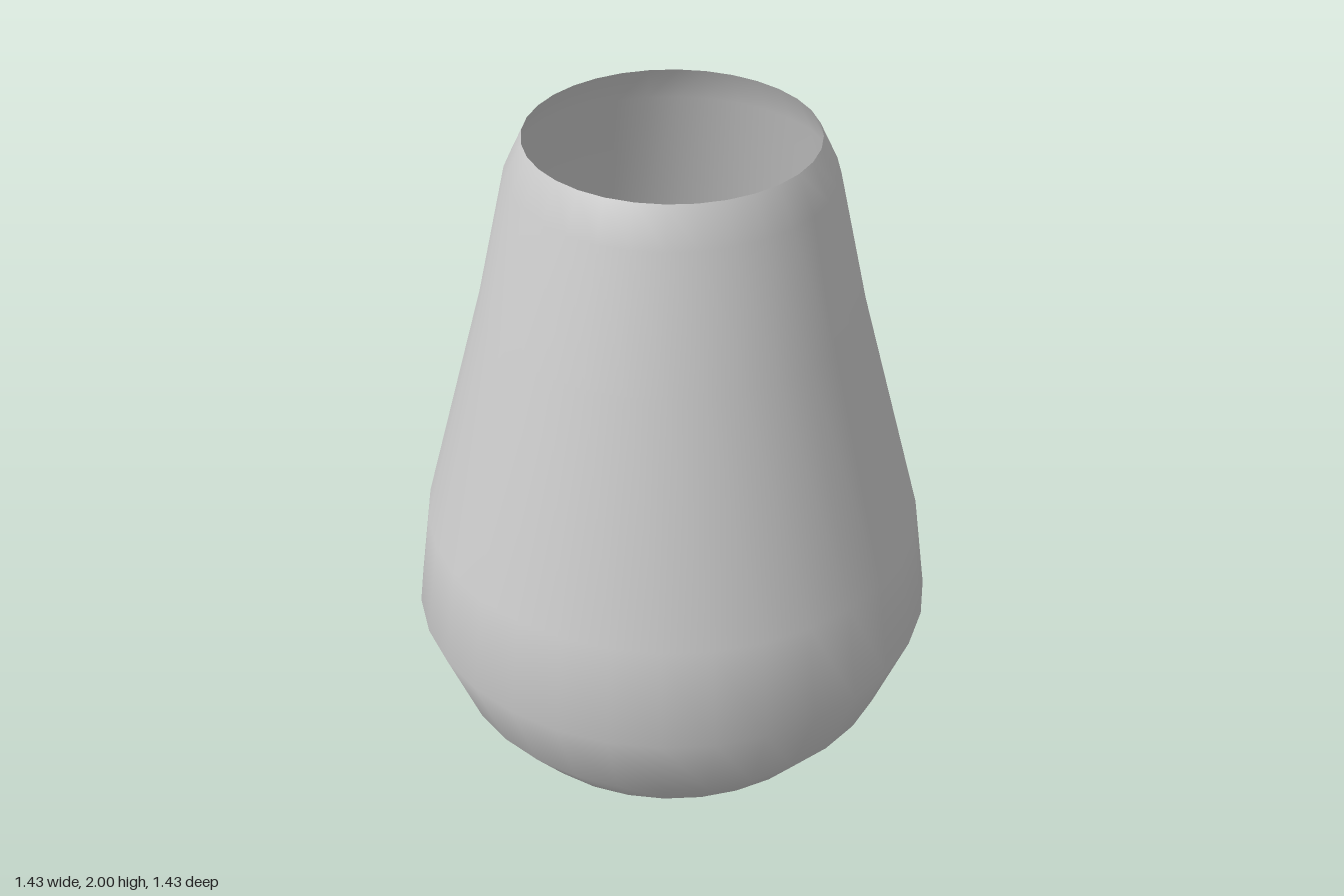
import * as THREE from 'three';

export function createModel() {
  const group = new THREE.Group();
  group.name = 'vase';

  // Thin open shell: round bowl base, widest low down, tapering to the mouth
  const profile = [
    [0, 0], [0.14, 0.016], [0.28, 0.06], [0.405, 0.132], [0.52, 0.23],
    [0.625, 0.363], [0.717, 0.606],
    [0.677, 0.89], [0.503, 1.54], [0.423, 1.9], [0.375, 2],
  ].map(([r, y]) => new THREE.Vector2(r, y));

  const shell = new THREE.Mesh(
    new THREE.LatheGeometry(profile, 32),
    new THREE.MeshStandardMaterial({ color: 0xcccccc, side: THREE.DoubleSide }),
  );
  shell.name = 'vaseShell';
  group.add(shell);
  return group;
}
